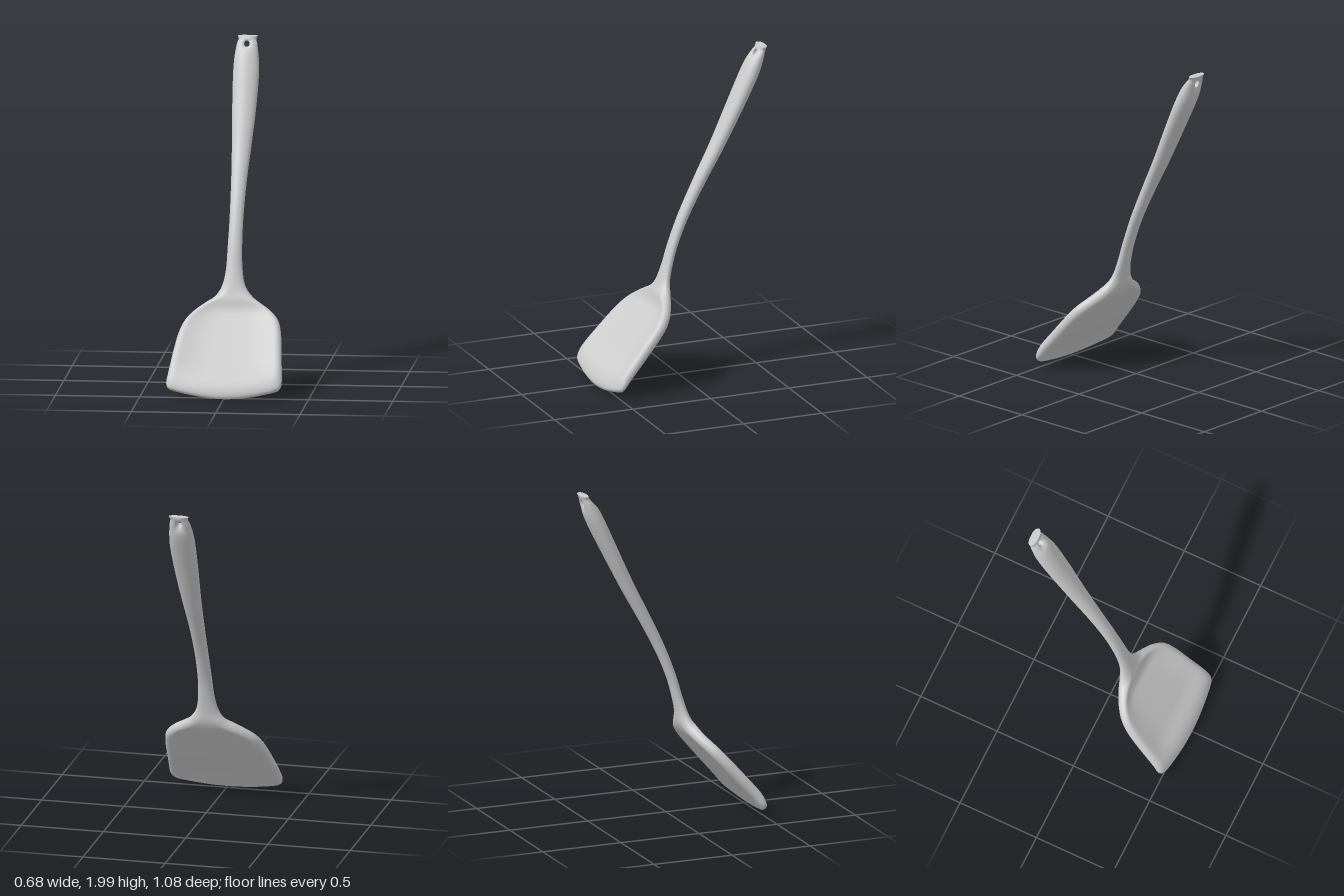
import * as THREE from 'three';
import { mergeVertices } from 'three/addons/utils/BufferGeometryUtils.js';

// Cross-sections from blade tip to handle end:
// height y, depth z, left x, right x, thickness, rounded share of the half width
const ROWS = [
  [0.006, 0.532, -0.29, 0.295, 0, 0.12],
  [0.02, 0.525, -0.33, 0.322, 0.032, 0.12],
  [0.06, 0.505, -0.345, 0.338, 0.05, 0.12],
  [0.13, 0.458, -0.337, 0.337, 0.066, 0.12],
  [0.25, 0.356, -0.317, 0.326, 0.07, 0.12],
  [0.35, 0.27, -0.293, 0.315, 0.07, 0.12],
  [0.42, 0.21, -0.258, 0.294, 0.07, 0.14],
  [0.47, 0.167, -0.205, 0.245, 0.07, 0.2],
  [0.51, 0.138, -0.148, 0.185, 0.074, 0.35],
  [0.55, 0.118, -0.09, 0.13, 0.072, 0.6],
  [0.61, 0.102, -0.052, 0.087, 0.064, 0.95],
  [0.7, 0.078, -0.032, 0.068, 0.057, 1],
  [0.83, 0.04, -0.025, 0.061, 0.056, 1],
  [1.0, -0.027, -0.02, 0.062, 0.062, 1],
  [1.2, -0.125, -0.021, 0.072, 0.071, 1],
  [1.4, -0.23, -0.027, 0.09, 0.08, 1],
  [1.6, -0.327, -0.035, 0.107, 0.09, 1],
  [1.78, -0.413, -0.039, 0.115, 0.099, 1],
  [1.87, -0.456, -0.036, 0.11, 0.098, 1],
  [1.92, -0.48, -0.03, 0.103, 0.084, 1],
  [1.955, -0.497, -0.024, 0.097, 0.072, 1],
  [1.98, -0.509, -0.016, 0.091, 0.058, 0.95],
  [2.0, -0.516, -0.021, 0.099, 0.05, 0.8],
];
const SUB = 6, COLS = 32;
const LAST = (ROWS.length - 1) * SUB;
const NECK = 10 * SUB;                                  // where blade becomes handle
const HOLE = { i: LAST - 2 * SUB, j: COLS / 2, di: 4, dj: 3 };
const smooth = THREE.MathUtils.smoothstep;

// Smooth interpolation of the cross-section table
function section(i) {
  const s = THREE.MathUtils.clamp(i / SUB, 0, ROWS.length - 1);
  const k = Math.min(Math.floor(s), ROWS.length - 2), f = s - k;
  const at = (n) => ROWS[THREE.MathUtils.clamp(n, 0, ROWS.length - 1)];
  return ROWS[0].map((_, c) => {
    const p = at(k)[c], q = at(k + 1)[c];
    const m = (q - at(k - 1)[c]) / 2, n = (at(k + 2)[c] - p) / 2;
    return p + f * m + f * f * (3 * (q - p) - 2 * m - n) + f * f * f * (2 * (p - q) + m + n);
  });
}

// Surface point; side is +1 for the front sheet and -1 for the back
function point(i, j, side) {
  // Pull the grid around the hole from a square into a circle, sinking its lip
  const a = (j - HOLE.j) / HOLE.dj, b = (i - HOLE.i) / HOLE.di;
  const m = Math.max(Math.abs(a), Math.abs(b));
  let sink = 1;
  if (m > 0 && m < 2) {
    const blend = Math.min(1, 2 - m);
    const k = THREE.MathUtils.lerp(1, m / Math.hypot(a, b), blend);
    j = HOLE.j + a * k * HOLE.dj;
    i = HOLE.i + b * k * HOLE.di;
    sink = 1 - 0.3 * blend * blend;
  }
  const [y, z, xl, xr, t, e] = section(i);
  const p = section(i - 0.5), q = section(i + 0.5);
  const len = Math.hypot(q[0] - p[0], q[1] - p[1]);
  const nz = (q[0] - p[0]) / len;
  const ny = (-(q[1] - p[1]) / len) * smooth(2 - y, 0, 0.1);

  const u = -Math.cos((Math.PI * j) / COLS), au = Math.abs(u);
  const edge = Math.min(e, 1);
  const r = Math.max(0, (au - 1 + edge) / edge);
  let h = (t / 2) * Math.sqrt(Math.max(0, 1 - r * r)) * sink;
  // Shallow hollow in the blade's front
  if (side > 0) h -= 0.025 * smooth(y, 0.05, 0.2) * (1 - smooth(y, 0.44, 0.54)) * Math.max(0, 1 - au ** 4) ** 2;
  // Bowed blade tip
  const bow = 0.042 * u * u * Math.max(0, 1 - y / 0.3) ** 2;
  return [
    (xl + xr) / 2 + (u * (xr - xl)) / 2,
    y + bow + side * h * ny,
    z - bow * 0.8 + side * h * nz,
  ];
}

function geometry(positions, index) {
  const g = new THREE.BufferGeometry();
  g.setAttribute('position', new THREE.Float32BufferAttribute(positions, 3));
  g.setIndex(index);
  return g;
}

// Strip of quads between two rows of points
function strip(rowA, rowB) {
  const n = rowA.length, index = [];
  for (let k = 0; k < n - 1; k++) index.push(k, k + 1, n + k + 1, k, n + k + 1, n + k);
  const g = geometry([...rowA, ...rowB].flat(), index);
  g.computeVertexNormals();
  return g;
}

export function createModel() {
  const group = new THREE.Group();
  const material = new THREE.MeshStandardMaterial({ color: 0xcccccc, roughness: 0.7 });
  const inside = material.clone();
  inside.side = THREE.DoubleSide;
  const add = (name, g, mat = material) => {
    const mesh = new THREE.Mesh(g, mat);
    mesh.name = name;
    group.add(mesh);
  };

  // Front and back sheets, joined along their edges
  const positions = [], index = [];
  let bladeCount = 0;
  const stride = COLS + 1, back = (LAST + 1) * stride;
  for (const side of [1, -1])
    for (let i = 0; i <= LAST; i++)
      for (let j = 0; j <= COLS; j++) positions.push(...point(i, j, side));
  for (let i = 0; i < LAST; i++) {
    if (i === NECK) bladeCount = index.length;
    for (let j = 0; j < COLS; j++) {
      const inHole = Math.abs(i + 0.5 - HOLE.i) < HOLE.di && Math.abs(j + 0.5 - HOLE.j) < HOLE.dj;
      if (inHole) continue;
      const a = i * stride + j, b = a + 1, c = b + stride, d = a + stride;
      index.push(a, b, c, a, c, d);
      index.push(back + a, back + c, back + b, back + a, back + d, back + c);
    }
  }
  const body = mergeVertices(geometry(positions, index), 1e-5);
  body.computeVertexNormals();

  // Cut the shared surface at the neck so its shading stays continuous
  const all = Array.from(body.index.array);
  const part = (from, to) => {
    const g = body.clone();
    g.setIndex(all.slice(from, to));
    return g.toNonIndexed();
  };
  add('blade', part(0, bladeCount));
  add('handle', part(bladeCount));

  // Flat end of the handle
  const endRow = (side) => Array.from({ length: stride }, (_, j) => point(LAST, j, side));
  add('handleEnd', strip(endRow(1), endRow(-1)));

  // Wall of the hanging hole
  const ring = [];
  const { i, j, di, dj } = HOLE;
  for (let k = -dj; k < dj; k++) ring.push([i - di, j + k]);
  for (let k = -di; k < di; k++) ring.push([i + k, j + dj]);
  for (let k = dj; k > -dj; k--) ring.push([i + di, j + k]);
  for (let k = di; k >= -di; k--) ring.push([i + k, j - dj]);
  const rim = (side) => ring.map(([r, c]) => point(r, c, side));
  add('hangingHole', strip(rim(1), rim(-1)), inside);

  return group;
}
